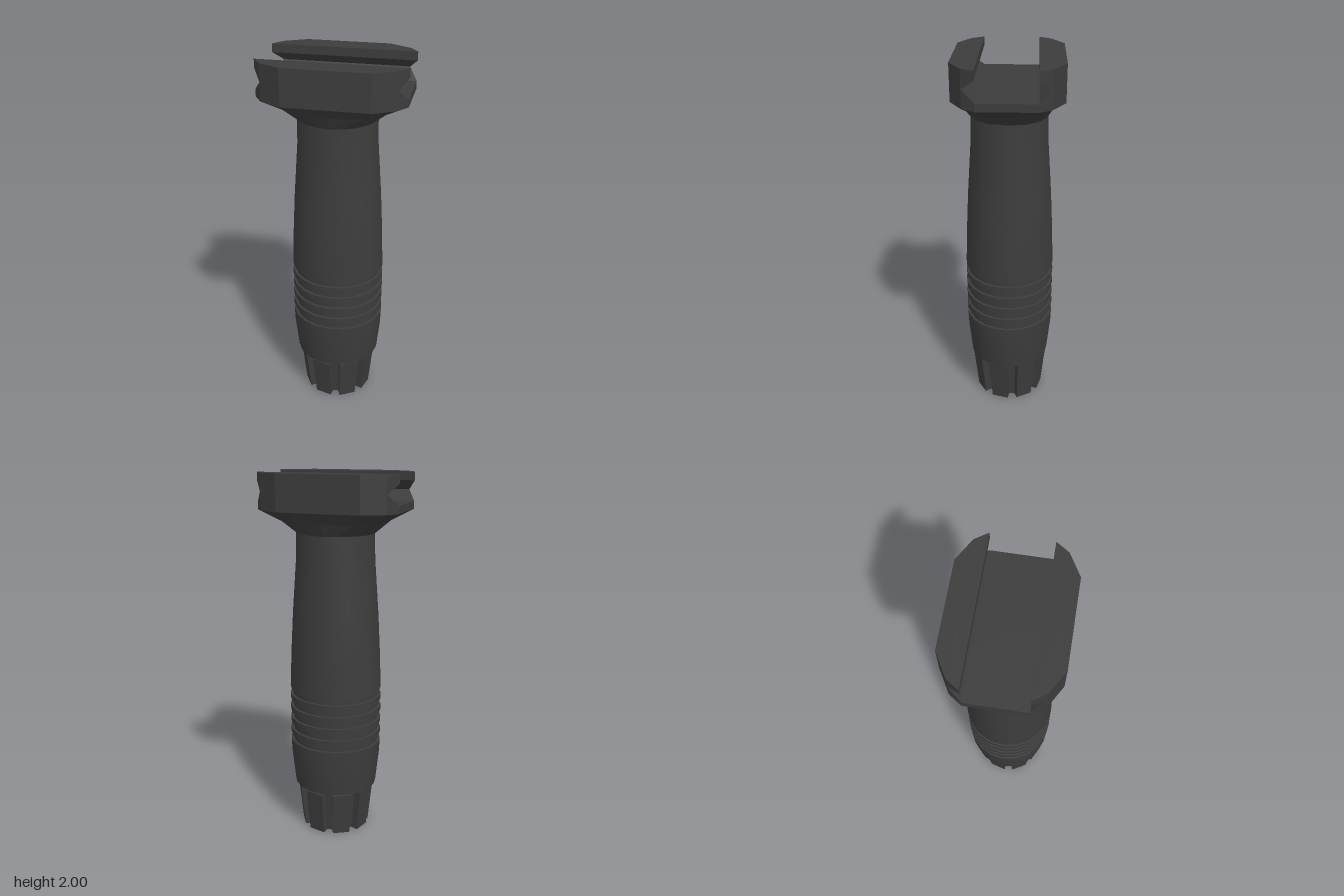
import * as THREE from 'three';
import { toCreasedNormals } from 'three/addons/utils/BufferGeometryUtils.js';

// Closed solid through rings of equal point count; ring = { y, pts: [[x, z], ...] }, bottom to top
function loft(rings) {
  const pos = [];
  const tri = (...corners) => corners.forEach((c) => pos.push(...c));
  const at = (ring, i) => {
    const p = ring.pts[i % ring.pts.length];
    return [p[0], ring.y, p[1]];
  };
  const centre = (ring) => {
    const n = ring.pts.length;
    const sum = ring.pts.reduce((s, p) => [s[0] + p[0], s[1] + p[1]], [0, 0]);
    return [sum[0] / n, ring.y, sum[1] / n];
  };
  const n = rings[0].pts.length;
  const first = rings[0];
  const last = rings[rings.length - 1];
  for (let i = 0; i < n; i++) {
    for (let r = 0; r + 1 < rings.length; r++) {
      const lo = rings[r];
      const hi = rings[r + 1];
      tri(at(lo, i), at(hi, i), at(lo, i + 1));
      tri(at(lo, i + 1), at(hi, i), at(hi, i + 1));
    }
    tri(centre(last), at(last, i + 1), at(last, i));
    tri(centre(first), at(first, i), at(first, i + 1));
  }
  const geo = new THREE.BufferGeometry();
  geo.setAttribute('position', new THREE.Float32BufferAttribute(pos, 3));
  geo.computeVertexNormals();
  return geo;
}

export function createModel() {
  const model = new THREE.Group();
  const flat = new THREE.MeshStandardMaterial({ color: 0x3c3c3c, flatShading: true });
  const smooth = new THREE.MeshStandardMaterial({ color: 0x3c3c3c });
  const add = (name, geo, mat) => {
    const mesh = new THREE.Mesh(geo, mat);
    mesh.name = name;
    model.add(mesh);
    return mesh;
  };

  // Handle: tapered profile with a band of five grooves
  const profile = [[0, 0.26], [0.233, 0.26], [0.252, 0.44], [0.255, 0.525]];
  for (let i = 0; i < 5; i++) {
    const y = 0.525 + i * 0.068;
    profile.push([0.24, y], [0.24, y + 0.034], [0.255, y + 0.034]);
    if (i < 4) profile.push([0.255, y + 0.068]);
  }
  profile.push([0.246, 1.05], [0.235, 1.25], [0.213, 1.55], [0.21, 1.7], [0, 1.7]);
  const lathe = new THREE.LatheGeometry(profile.map(([r, y]) => new THREE.Vector2(r, y)), 20);
  const handle = add('handle', toCreasedNormals(lathe, 0.5), smooth);
  handle.scale.z = 0.955;
  handle.position.x = 0.004;

  // Mount base: flares from the round neck to the chamfered plate outline
  const quarter = [[0.38, 0], [0.38, 0.15], [0.335, 0.215], [0.22, 0.28], [0.1, 0.28], [0, 0.28]];
  const half = [...quarter, ...quarter.slice(1, -1).reverse().map(([x, z]) => [-x, z])];
  const plate = [...half, ...half.map(([x, z]) => [-x, -z])];
  const neck = plate.map(([x, z]) => {
    const a = Math.atan2(z, x);
    return [0.21 * Math.cos(a), 0.205 * Math.sin(a)];
  });
  const blend = (t) => plate.map(([x, z], i) => [
    THREE.MathUtils.lerp(neck[i][0], x, t),
    THREE.MathUtils.lerp(neck[i][1], z, t),
  ]);
  add('mountBase', loft([
    { y: 1.69, pts: neck },
    { y: 1.755, pts: blend(0.43) },
    { y: 1.81, pts: plate },
    { y: 1.85, pts: plate },
  ]), flat);

  // Clamp rails: inner face undercut by a V-shaped channel
  const railRing = (y, z) => {
    const x = 0.38 - (0.045 * (z - 0.15)) / 0.065;
    return {
      y,
      pts: [[x, z], [0.335, 0.215], [0.22, 0.28], [-0.22, 0.28], [-0.335, 0.215], [-x, z]],
    };
  };
  const railGeo = loft([
    railRing(1.85, 0.15), railRing(1.905, 0.213), railRing(1.955, 0.15), railRing(2, 0.15),
  ]);
  add('frontRail', railGeo, flat);
  add('backRail', railGeo, flat).rotation.y = Math.PI;

  // End cap: eight flat teeth separated by grooves, narrowing downwards
  const toothed = (y, outer) => {
    const pts = [];
    for (let i = 0; i < 8; i++) {
      const mid = 45 * i + 22.5 - 7;
      const corners = [[-14.5, outer], [14.5, outer], [16.5, outer - 0.042], [28.5, outer - 0.042]];
      for (const [offset, r] of corners) {
        const a = THREE.MathUtils.degToRad(mid + offset);
        pts.push([r * Math.cos(a), r * Math.sin(a)]);
      }
    }
    return { y, pts };
  };
  add('endCap', loft([toothed(0, 0.19), toothed(0.245, 0.216)]), flat).position.x = 0.004;

  return model;
}
